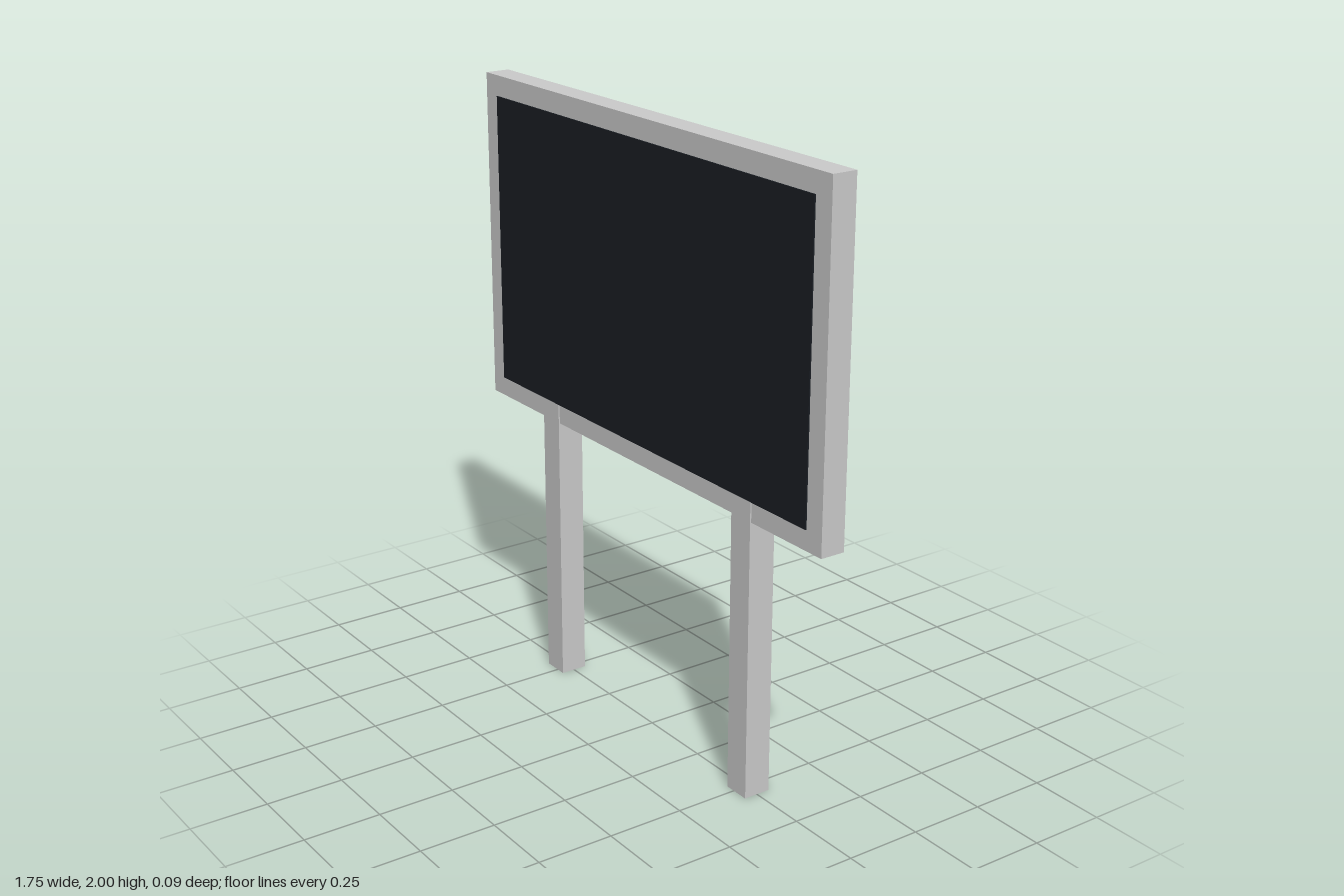
import * as THREE from 'three';

export function createModel() {
  const group = new THREE.Group();
  const grey = new THREE.MeshStandardMaterial({ color: 0xcccccc });
  const dark = new THREE.MeshStandardMaterial({ color: 0x1a1e24 });

  // Box given by its centre x, bottom, top, back and front
  const addBox = (name, material, x, width, y0, y1, z0, z1) => {
    const mesh = new THREE.Mesh(new THREE.BoxGeometry(width, y1 - y0, z1 - z0), material);
    mesh.position.set(x, (y0 + y1) / 2, (z0 + z1) / 2);
    mesh.name = name;
    group.add(mesh);
  };

  // Board with its dark face set inside a plain border
  addBox('board', grey, 0, 1.75, 0.91, 2, -0.041, 0.041);
  addBox('displayFace', dark, 0, 1.615, 0.975, 1.933, 0.039, 0.0453);

  // Square posts running up through the board, slightly proud of it
  for (const side of [-1, 1]) {
    addBox(side > 0 ? 'leftPost' : 'rightPost', grey, side * 0.512, 0.09, 0, 1.255, -0.045, 0.045);
  }
  return group;
}
